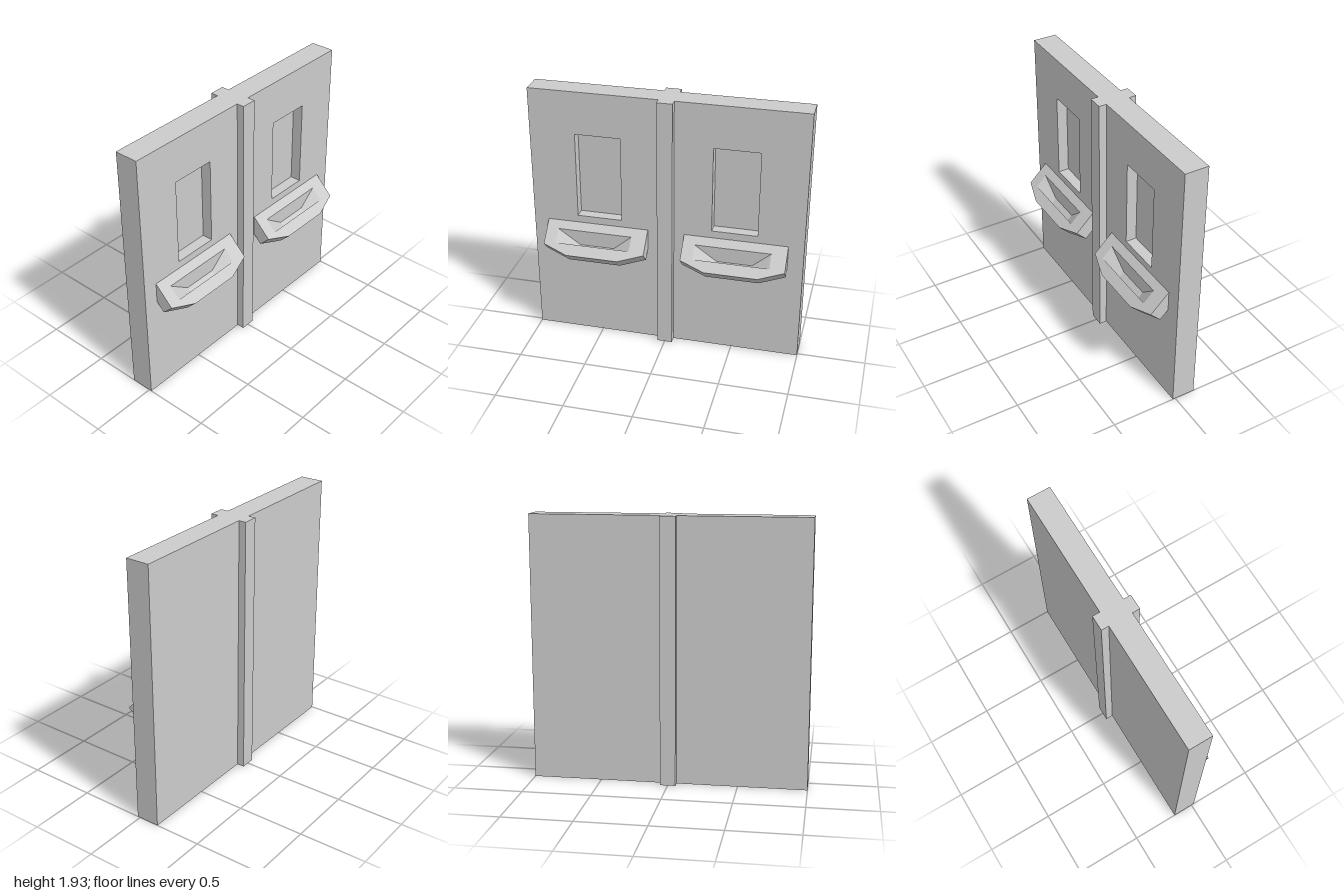
import * as THREE from 'three';

const material = new THREE.MeshStandardMaterial({ color: 0xcccccc, flatShading: true });

const HEIGHT = 1.935;
const BACK = -0.155, FACE = 0.02; // slab thickness along x
const RECESS = 0.08;              // depth of the window recesses
const TILT = 0.935;               // tray top lies on the plane x + y = TILT

function add(group, name, geometry) {
  const mesh = new THREE.Mesh(geometry, material);
  mesh.name = name;
  group.add(mesh);
  return mesh;
}

// Box given by its limits in x and z, standing on the ground
function standingBox(x0, x1, halfZ) {
  return new THREE.BoxGeometry(x1 - x0, HEIGHT, halfZ * 2).translate((x0 + x1) / 2, HEIGHT / 2, 0);
}

function rectangle(PathType, x0, y0, x1, y1) {
  return new PathType([[x0, y0], [x1, y0], [x1, y1], [x0, y1]].map(p => new THREE.Vector2(...p)));
}

// Flat-shaded geometry from quads, corners counter-clockwise from outside
function quadGeometry(quads) {
  const positions = quads.flatMap(([a, b, c, d]) => [a, b, c, a, c, d].flat());
  const geometry = new THREE.BufferGeometry();
  geometry.setAttribute('position', new THREE.Float32BufferAttribute(positions, 3));
  geometry.computeVertexNormals();
  return geometry;
}

// Lays a flat shape (z, x) onto the tilted tray plane, shifted by a drop in x and y
function tiltedFace(shape, drop, flip) {
  const geometry = new THREE.ShapeGeometry(shape);
  const p = geometry.attributes.position;
  for (let i = 0; i < p.count; i++) {
    const z = p.getX(i), x = p.getY(i);
    p.setXYZ(i, x - drop, TILT - x - drop, z);
  }
  if (flip) geometry.index.array.reverse();
  geometry.computeVertexNormals();
  return geometry;
}

function createTray() {
  const tray = new THREE.Group();
  tray.name = 'tray';
  const outline = [[0.138, FACE], [0.893, FACE], [0.893, 0.158], [0.71, 0.206], [0.323, 0.206], [0.138, 0.158]];
  const opening = [[0.25, 0.068], [0.805, 0.068], [0.805, 0.145], [0.25, 0.145]];
  const floor = [[0.385, 0.068], [0.64, 0.068], [0.64, 0.145], [0.385, 0.145]];
  const thickness = 0.077, depth = 0.115;
  const toVectors = list => list.map(p => new THREE.Vector2(...p));

  // Top with the basin opening, and the underside
  const top = new THREE.Shape(toVectors(outline));
  top.holes.push(new THREE.Path(toVectors(opening)));
  add(tray, 'trayTop', tiltedFace(top, 0, false));
  add(tray, 'trayUnderside', tiltedFace(new THREE.Shape(toVectors(outline)), thickness, true));

  // Rim around the plate
  const upper = outline.map(([z, x]) => [x, TILT - x, z]);
  const lower = upper.map(([x, y, z]) => [x - thickness, y - thickness, z]);
  add(tray, 'trayRim', quadGeometry(upper.map((u, i) => {
    const j = (i + 1) % upper.length;
    return [lower[i], lower[j], upper[j], u];
  })));

  // Basin with sloping ends
  const mouth = opening.map(([z, x]) => [x, TILT - x, z]);
  const bed = floor.map(([z, x]) => [x, TILT - x - depth, z]);
  const walls = mouth.map((m, i) => {
    const j = (i + 1) % 4;
    return [m, mouth[j], bed[j], bed[i]];
  });
  add(tray, 'trayBasin', quadGeometry([...walls, bed]));
  return tray;
}

export function createModel() {
  const model = new THREE.Group();
  model.name = 'doublePanel';

  // Slab: solid back layer and a front layer pierced by two windows
  add(model, 'panelBack', standingBox(BACK, FACE - RECESS, 1));
  const face = rectangle(THREE.Shape, -1, 0, 1, HEIGHT);
  for (const side of [-1, 1]) {
    const inner = side * 0.333, outer = side * 0.665;
    face.holes.push(rectangle(THREE.Path, inner, 0.97, outer, 1.615));
  }
  const front = new THREE.ExtrudeGeometry(face, { depth: RECESS, bevelEnabled: false });
  front.rotateY(Math.PI / 2).translate(FACE - RECESS, 0, 0);
  add(model, 'panelFront', front);

  // Upright strip standing proud of both faces
  add(model, 'centreStrip', standingBox(-0.21, 0.076, 0.056));

  // Two identical tilted trays
  for (const shift of [0, -1.025]) {
    const tray = createTray();
    tray.position.z = shift;
    model.add(tray);
  }
  return model;
}
